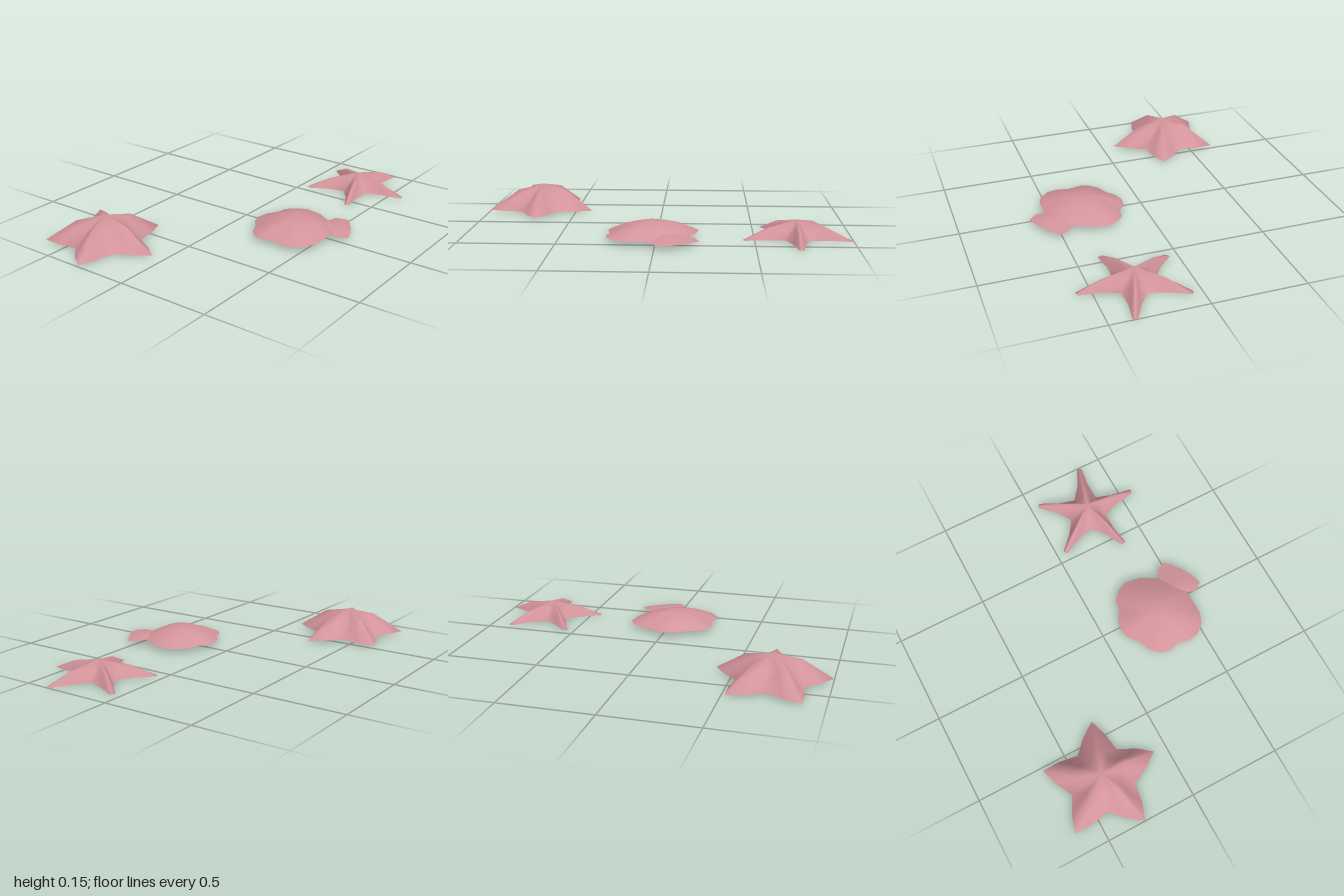
import * as THREE from 'three';

const pink = new THREE.MeshStandardMaterial({ color: 0xd4949b, side: THREE.DoubleSide });
pink.name = 'coralPink';

// Smooth open surface from rows of points; closed rows wrap round
function skin(name, rows, closed) {
  const n = rows[0].length, index = [];
  for (let r = 0; r < rows.length - 1; r++) {
    for (let i = 0; i < (closed ? n : n - 1); i++) {
      const j = (i + 1) % n;
      const a = r * n + i, b = r * n + j, c = a + n, d = b + n;
      index.push(a, d, c, a, b, d);
    }
  }
  const geo = new THREE.BufferGeometry();
  geo.setAttribute('position', new THREE.Float32BufferAttribute(rows.flat(2), 3));
  geo.setIndex(index);
  geo.computeVertexNormals();
  const mesh = new THREE.Mesh(geo, pink);
  mesh.name = name;
  return mesh;
}

// Hollow dome: one apex, then rings of equal length
function dome(name, apex, rings) {
  const n = rings[0].length, pos = [...apex, ...rings.flat(2)], index = [];
  for (let i = 0; i < n; i++) {
    const j = (i + 1) % n;
    index.push(0, 1 + j, 1 + i);
    for (let r = 0; r < rings.length - 1; r++) {
      const a = 1 + r * n + i, b = 1 + r * n + j;
      index.push(a, b, b + n, a, b + n, a + n);
    }
  }
  const geo = new THREE.BufferGeometry();
  geo.setAttribute('position', new THREE.Float32BufferAttribute(pos, 3));
  geo.setIndex(index);
  geo.computeVertexNormals();
  const mesh = new THREE.Mesh(geo, pink);
  mesh.name = name;
  return mesh;
}

// Half-arm columns: [mid along, mid across, mid height, rim along, rim across],
// running from the valley between arms to the ridge of the arm
function starfish(name, height, base, columns) {
  const mid = [], rim = [];
  const mirrored = columns.slice(1, -1).reverse().map(c => [c[0], -c[1], c[2], c[3], -c[4]]);
  for (let k = 0; k < 5; k++) {
    const t = Math.PI / 2 + k * Math.PI * 2 / 5, cos = Math.cos(t), sin = Math.sin(t);
    const place = (u, v, y) => [u * cos + v * sin, y, u * sin - v * cos];
    for (const [mu, mv, my, ru, rv] of [...columns, ...mirrored]) {
      mid.push(place(mu, mv, my));
      rim.push(place(ru, rv, base));
    }
  }
  return dome(name, [0, height, 0], [mid, rim]);
}

function scallop() {
  const group = new THREE.Group();
  group.name = 'scallopShell';
  // wavy outline in x, z
  const outline = [
    [-0.025, 0.10], [0.03, 0.11], [0.083, 0.147], [0.147, 0.158], [0.19, 0.20],
    [0.217, 0.254], [0.20, 0.35], [0.142, 0.447], [0.08, 0.50], [0.008, 0.537],
    [-0.136, 0.537], [-0.195, 0.516], [-0.243, 0.463], [-0.254, 0.40], [-0.238, 0.35],
    [-0.254, 0.275], [-0.243, 0.23], [-0.20, 0.185], [-0.136, 0.158], [-0.083, 0.115],
  ];
  const cx = -0.025, cz = 0.325;
  const ring = (s, y) => outline.map(([x, z]) => [cx + (x - cx) * s, y, cz + (z - cz) * s]);
  group.add(dome('shellFan', [cx, 0.095, cz], [ring(0.35, 0.083), ring(0.65, 0.064), ring(1, 0.027)]));

  // flared hinge plate sloping down from the fan
  group.add(skin('shellHinge', [
    [[0.135, 0.034, 0.44], [0.10, 0.05, 0.455], [0.06, 0.056, 0.475], [0.03, 0.05, 0.50], [0.005, 0.034, 0.53]],
    [[0.195, 0.032, 0.45], [0.16, 0.04, 0.50], [0.09, 0.046, 0.535], [0.04, 0.04, 0.56], [-0.018, 0.032, 0.58]],
    [[0.222, 0.028, 0.51], [0.185, 0.028, 0.545], [0.136, 0.028, 0.58], [0.083, 0.028, 0.61], [0.02, 0.028, 0.63]],
  ], false));
  return group;
}

export function createModel() {
  const model = new THREE.Group();
  model.name = 'seaCreatures';

  const broad = starfish('broadStarfish', 0.152, 0.011, [
    [0.073, 0.053, 0.093, 0.143, 0.104],
    [0.115, 0.030, 0.109, 0.236, 0.058],
    [0.147, 0, 0.121, 0.313, 0],
  ]);
  broad.position.set(-0.702, 0, -0.383);

  const slim = starfish('slimStarfish', 0.095, 0.003, [
    [0.042, 0.030, 0.055, 0.087, 0.063],
    [0.092, 0.018, 0.060, 0.180, 0.030],
    [0.155, 0.009, 0.054, 0.287, 0.014],
    [0.163, 0, 0.060, 0.291, 0],
  ]);
  slim.position.set(0.72, 0, 0.283);

  model.add(broad, slim, scallop());
  return model;
}
